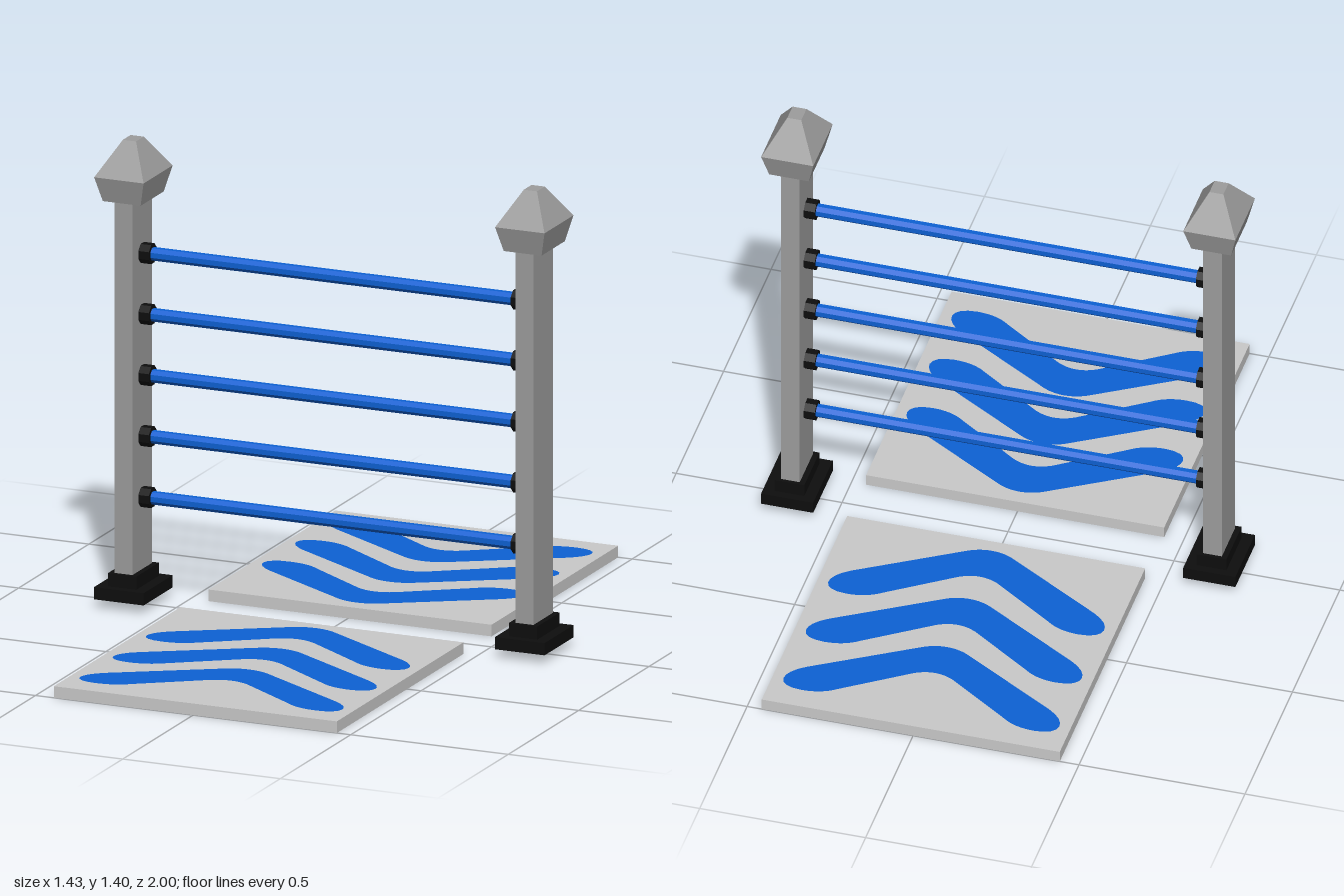
import * as THREE from 'three';

const paint = (name, color) => {
  const m = new THREE.MeshStandardMaterial({ color });
  m.name = name;
  return m;
};

// Box whose top and bottom rectangles may differ, standing on y0
function taperedBox(bottom, top, y0, y1) {
  const g = new THREE.BoxGeometry(1, y1 - y0, 1);
  g.translate(0, (y0 + y1) / 2, 0);
  const p = g.attributes.position;
  const mid = (y0 + y1) / 2;
  for (let i = 0; i < p.count; i++) {
    const [w, d] = p.getY(i) > mid ? top : bottom;
    p.setX(i, p.getX(i) * w);
    p.setZ(i, p.getZ(i) * d);
  }
  g.computeVertexNormals();
  return g;
}

// Rounded chevron lying flat, its tip towards -z
function chevronGeometry() {
  const s = new THREE.Shape();
  s.moveTo(0, -0.145);
  s.quadraticCurveTo(0.04, -0.145, 0.075, -0.168);
  s.lineTo(0.365, -0.346);
  s.bezierCurveTo(0.435, -0.39, 0.435, -0.455, 0.35, -0.455);
  s.quadraticCurveTo(0.29, -0.455, 0.25, -0.422);
  s.lineTo(0.06, -0.29);
  s.quadraticCurveTo(0.03, -0.272, 0, -0.272);
  s.quadraticCurveTo(-0.03, -0.272, -0.06, -0.29);
  s.lineTo(-0.25, -0.422);
  s.quadraticCurveTo(-0.29, -0.455, -0.35, -0.455);
  s.bezierCurveTo(-0.435, -0.455, -0.435, -0.39, -0.365, -0.346);
  s.lineTo(-0.075, -0.168);
  s.quadraticCurveTo(-0.04, -0.145, 0, -0.145);
  return new THREE.ShapeGeometry(s, 8).rotateX(-Math.PI / 2);
}

// Octagonal rod along x with flats facing front and up
function rod(radius, length) {
  return new THREE.CylinderGeometry(radius, radius, length, 8)
    .rotateY(Math.PI / 8)
    .rotateZ(Math.PI / 2);
}

export function createModel() {
  const model = new THREE.Group();
  model.name = 'barredGate';

  const postGrey = paint('post grey', 0x9c9c9c);
  const matGrey = paint('mat light grey', 0xc9c9c9);
  const black = paint('fitting black', 0x0e0e0e);
  const blue = paint('signal blue', 0x0d61d3);
  const rodBlue = blue.clone();
  rodBlue.name = 'rod blue';
  rodBlue.flatShading = true;
  const socketBlack = black.clone();
  socketBlack.name = 'socket black';
  socketBlack.flatShading = true;

  const add = (parent, name, geometry, material, x = 0, y = 0, z = 0) => {
    const mesh = new THREE.Mesh(geometry, material);
    mesh.name = name;
    mesh.position.set(x, y, z);
    parent.add(mesh);
    return mesh;
  };

  // Posts with stepped feet and pointed caps
  const postX = 0.636;
  for (const side of [-1, 1]) {
    const post = new THREE.Group();
    post.name = side > 0 ? 'leftPost' : 'rightPost';
    post.position.x = side * postX;
    add(post, 'foot', taperedBox([0.157, 0.206], [0.157, 0.206], 0.027, 0.064), black);
    add(post, 'footStep', taperedBox([0.09, 0.16], [0.09, 0.16], 0.064, 0.104), black);
    add(post, 'shaft', taperedBox([0.057, 0.14], [0.057, 0.14], 0.104, 1.225), postGrey);
    add(post, 'capBase', taperedBox([0.12, 0.165], [0.157, 0.206], 1.225, 1.3), postGrey);
    add(post, 'capPeak', taperedBox([0.157, 0.206], [0.042, 0.055], 1.3, 1.4), postGrey);
    model.add(post);
  }

  // Crossbars and their sockets
  const barGeometry = rod(0.02, 1.16);
  const socketGeometry = rod(0.031, 0.034);
  for (let i = 0; i < 5; i++) {
    const y = 0.323 + i * 0.184;
    add(model, 'crossbar', barGeometry, rodBlue, 0, y, 0);
    for (const side of [-1, 1]) {
      add(model, 'barSocket', socketGeometry, socketBlack, side * 0.591, y, 0);
    }
  }

  // Mats in front and behind, with chevrons pointing at the gate
  const chevron = chevronGeometry();
  for (const side of [1, -1]) {
    const mat = new THREE.Group();
    mat.name = side > 0 ? 'frontMat' : 'backMat';
    mat.position.x = 0.007;
    mat.rotation.y = side > 0 ? 0 : Math.PI;
    add(mat, 'matSlab', new THREE.BoxGeometry(0.898, 0.035, 0.9), matGrey, 0, 0.0175, 0.55);
    for (let i = 0; i < 3; i++) {
      add(mat, 'chevron', chevron, blue, 0, 0.037, i * 0.236);
    }
    model.add(mat);
  }

  return model;
}
